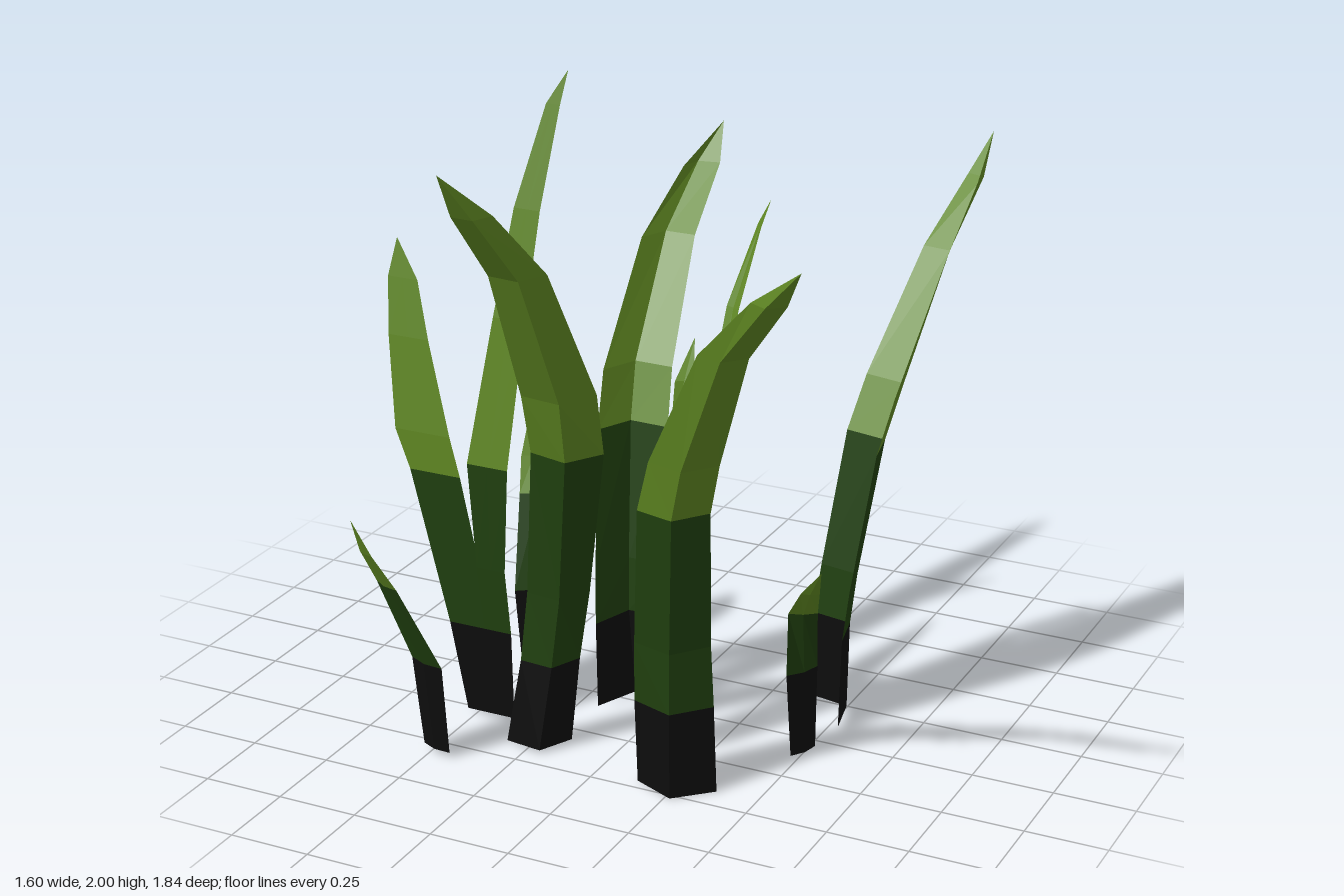
import * as THREE from 'three';

const paint = (name, color) => {
  const m = new THREE.MeshStandardMaterial({ color, side: THREE.DoubleSide, flatShading: true });
  m.name = name;
  return m;
};

// A blade is a strip of level rings, bottom to top. Each row is [y, x1, z1, x2, z2] for
// its two edges; the last is the tip [y, x, z]. fold pushes the midrib out of the strip.
// Ring 1 ends the dark root, ring lightFrom starts the bright tip.
function blade(name, mats, fold, lightFrom, rows) {
  const rings = rows.map(([y, ax, az, bx = ax, bz = az]) => {
    const mid = new THREE.Vector3(
      (ax + bx) / 2 + fold * (bz - az), y, (az + bz) / 2 - fold * (bx - ax));
    return [new THREE.Vector3(ax, y, az), mid, new THREE.Vector3(bx, y, bz)];
  });
  const group = new THREE.Group();
  group.name = name;
  const sections = [['Root', 0, 1], ['Stem', 1, lightFrom], ['Tip', lightFrom, rings.length - 1]];
  sections.forEach(([part, from, to], k) => {
    const points = [];
    for (let i = from; i < to; i++) {
      for (let j = 0; j < 2; j++) {
        const a = rings[i][j], b = rings[i][j + 1], c = rings[i + 1][j + 1], d = rings[i + 1][j];
        points.push(a, b, c);
        if (i < rings.length - 2) points.push(a, c, d);
      }
    }
    const geometry = new THREE.BufferGeometry().setFromPoints(points);
    geometry.computeVertexNormals();
    const mesh = new THREE.Mesh(geometry, mats[k]);
    mesh.name = name + part;
    group.add(mesh);
  });
  return group;
}

export function createModel() {
  const mats = [
    paint('rootBlack', 0x0d0d0d),
    paint('stemGreen', 0x20400f),
    paint('tipGreen', 0x5f8722),
  ];
  const model = new THREE.Group();
  model.name = 'grassClump';
  const add = (...args) => {
    const [name, fold, lightFrom, rows] = args;
    model.add(blade(name, mats, fold, lightFrom, rows));
  };

  // Four tall folded blades leaning outwards
  add('backLeftBlade', 0.33, 3, [
    [0.015, 0.36, -0.26, 0.535, -0.09],
    [0.3, 0.38, -0.25, 0.54, -0.095],
    [0.46, 0.4, -0.26, 0.555, -0.11],
    [0.88, 0.445, -0.33, 0.605, -0.17],
    [1.04, 0.475, -0.4, 0.63, -0.24],
    [1.39, 0.56, -0.62, 0.67, -0.52],
    [1.57, 0.62, -0.82, 0.68, -0.74],
    [1.68, 0.66, -0.92],
  ]);
  add('backBlade', 0.33, 3, [
    [0.015, -0.18, 0.1, 0.03, -0.04],
    [0.29, -0.185, 0.1, 0.0, -0.045],
    [0.46, -0.195, 0.08, -0.01, -0.05],
    [0.88, -0.225, 0.0, -0.045, -0.11],
    [1.05, -0.235, -0.06, -0.06, -0.17],
    [1.39, -0.235, -0.32, -0.1, -0.41],
    [1.56, -0.2, -0.54, -0.115, -0.62],
    [1.67, -0.14, -0.7],
  ]);
  add('frontBlade', 0.36, 3, [
    [0.015, -0.15, 0.33, -0.32, 0.42],
    [0.28, -0.13, 0.31, -0.28, 0.4],
    [0.5, -0.1, 0.3, -0.26, 0.39],
    [0.95, -0.04, 0.32, -0.235, 0.4],
    [1.15, -0.035, 0.37, -0.225, 0.47],
    [1.57, -0.07, 0.59, -0.21, 0.67],
    [1.78, -0.135, 0.77, -0.23, 0.83],
    [1.92, -0.22, 0.915],
  ]);
  add('frontLeftBlade', 0.33, 3, [
    [0.005, 0.37, 0.42, 0.135, 0.46],
    [0.27, 0.355, 0.41, 0.13, 0.47],
    [0.46, 0.345, 0.41, 0.135, 0.48],
    [0.89, 0.36, 0.45, 0.165, 0.52],
    [1.06, 0.41, 0.5, 0.22, 0.56],
    [1.45, 0.565, 0.655, 0.43, 0.69],
    [1.66, 0.73, 0.785, 0.63, 0.795],
    [1.78, 0.795, 0.85],
  ]);

  // Flat pair at the right, splayed in a V
  add('flatShortBlade', 0, 2, [
    [0.015, -0.53, 0.285, -0.42, 0.285],
    [0.3, -0.58, 0.295, -0.43, 0.295],
    [0.78, -0.7, 0.3, -0.53, 0.3],
    [0.9, -0.75, 0.295, -0.565, 0.295],
    [1.18, -0.785, 0.258, -0.65, 0.258],
    [1.35, -0.8, 0.225, -0.7, 0.225],
    [1.465, -0.78, 0.2],
  ]);
  add('flatTallBlade', 0, 3, [
    [0.015, -0.45, 0.285, -0.37, 0.285],
    [0.3, -0.46, 0.295, -0.37, 0.295],
    [0.5, -0.48, 0.3, -0.385, 0.3],
    [0.83, -0.505, 0.3, -0.37, 0.3],
    [1.28, -0.44, 0.24, -0.335, 0.24],
    [1.6, -0.4, 0.175, -0.315, 0.175],
    [1.9, -0.33, 0.1, -0.285, 0.1],
    [2.0, -0.27, 0.075],
  ]);

  // Narrow pair in the middle
  add('narrowShortBlade', 0.05, 2, [
    [0.03, 0.055, 0.195, 0.12, 0.235],
    [0.19, 0.075, 0.2, 0.13, 0.235],
    [0.69, 0.06, 0.15, 0.14, 0.165],
    [0.85, 0.035, 0.05, 0.125, 0.08],
    [1.06, 0.012, -0.04, 0.06, -0.07],
    [1.16, 0.02, -0.16],
  ]);
  add('narrowTallBlade', 0.05, 2, [
    [0.03, 0.12, 0.235, 0.2, 0.22],
    [0.19, 0.13, 0.24, 0.205, 0.23],
    [0.69, 0.145, 0.17, 0.21, 0.19],
    [0.9, 0.165, 0.13, 0.215, 0.14],
    [1.33, 0.188, -0.02, 0.235, 0.0],
    [1.56, 0.24, -0.12, 0.267, -0.08],
    [1.635, 0.28, -0.12],
  ]);

  // Three short outer sprouts
  add('backSprout', 0.1, 2, [
    [0.02, -0.485, 0.015, -0.39, -0.04],
    [0.3, -0.51, 0.015, -0.37, -0.045],
    [0.58, -0.545, -0.09, -0.43, -0.125],
    [0.68, -0.57, -0.15, -0.5, -0.18],
    [0.76, -0.575, -0.2],
  ]);
  add('frontSprout', 0.1, 2, [
    [0.02, -0.43, 0.575, -0.53, 0.55],
    [0.3, -0.44, 0.59, -0.56, 0.555],
    [0.57, -0.53, 0.68, -0.62, 0.64],
    [0.69, -0.575, 0.735, -0.63, 0.71],
    [0.81, -0.62, 0.77],
  ]);
  add('leftSprout', 0.1, 2, [
    [0.02, 0.525, 0.06, 0.485, 0.15],
    [0.3, 0.54, 0.09, 0.485, 0.19],
    [0.52, 0.58, 0.19, 0.505, 0.23],
    [0.61, 0.61, 0.25, 0.56, 0.27],
    [0.7, 0.635, 0.3],
  ]);
  return model;
}
